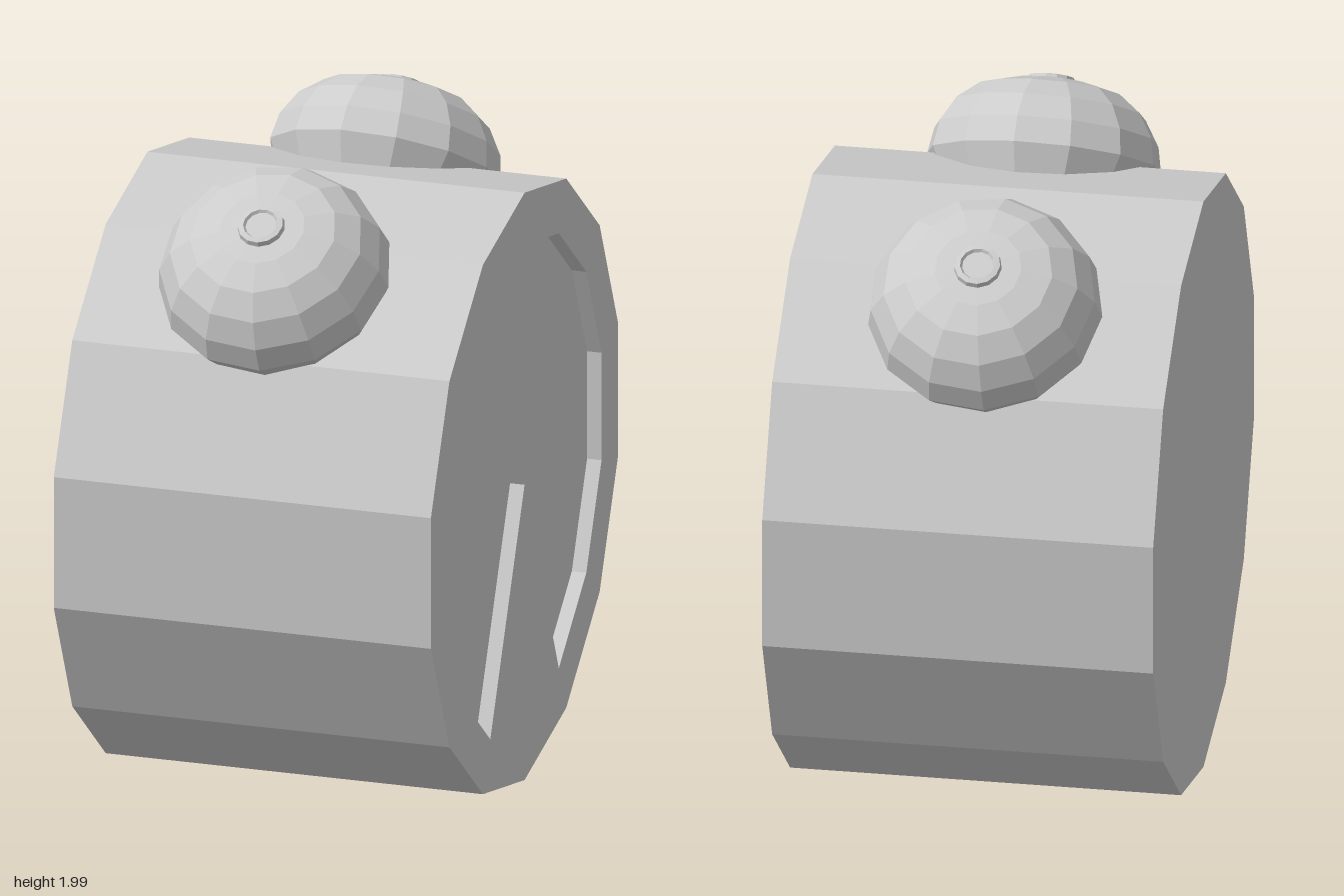
import * as THREE from 'three';

const SIDES = 14, RADIUS = 0.921, CENTRE_Y = 0.93;
const BACK_X = -0.588, FACE_X = 0.583, RECESS = 0.045;

const material = new THREE.MeshStandardMaterial({ color: 0xcccccc, flatShading: true });

function part(name, geometry) {
  const mesh = new THREE.Mesh(geometry, material);
  mesh.name = name;
  return mesh;
}

// Corners of the case polygon, k steps round from the top
function corner(radius, k) {
  const a = (k * Math.PI * 2) / SIDES;
  return new THREE.Vector2(radius * Math.sin(a), radius * Math.cos(a));
}

function profile(pairs) {
  return pairs.map(([r, h]) => new THREE.Vector2(r, h));
}

// Fourteen-sided drum lying along x
function createCase() {
  const length = FACE_X - RECESS - BACK_X;
  const geometry = new THREE.CylinderGeometry(RADIUS, RADIUS, length, SIDES, 1, false, Math.PI / 2);
  geometry.rotateZ(-Math.PI / 2);
  geometry.translate(BACK_X + length / 2, CENTRE_Y, 0);
  return part('case', geometry);
}

// Raised rim with a wedge reaching the centre of the sunken dial
function createFaceRim() {
  const outer = [], dial = [new THREE.Vector2(0, 0.005)];
  for (let k = 0; k < SIDES; k++) outer.push(corner(RADIUS, -k));
  for (let k = -6; k <= 6; k++) dial.push(corner(0.757, k));
  const shape = new THREE.Shape(outer);
  shape.holes.push(new THREE.Path(dial));
  const geometry = new THREE.ExtrudeGeometry(shape, { depth: RECESS, bevelEnabled: false });
  geometry.rotateY(Math.PI / 2);
  geometry.translate(FACE_X - RECESS, CENTRE_Y, 0);
  return part('faceRim', geometry);
}

// Flattened dome with a small dished button on its tip
function createBell(name) {
  const bell = new THREE.Group();
  bell.name = name;
  const dome = profile([
    [0, -0.26], [0.18, -0.2], [0.3, -0.1], [0.35, 0], [0.335, 0.08],
    [0.29, 0.155], [0.22, 0.21], [0.13, 0.235], [0, 0.243],
  ]);
  const button = profile([[0.073, 0.23], [0.068, 0.255], [0.052, 0.258], [0.046, 0.249], [0, 0.249]]);
  bell.add(part('bellDome', new THREE.LatheGeometry(dome, 13, Math.PI / 2)));
  bell.add(part('bellButton', new THREE.LatheGeometry(button, 13, Math.PI / 2)));
  bell.position.set(0, 1.7, 0.52);
  bell.rotation.x = THREE.MathUtils.degToRad(34.5);
  return bell;
}

export function createModel() {
  const model = new THREE.Group();
  model.name = 'alarmClock';
  model.add(createCase(), createFaceRim());

  // Two bells, the back one turned half round
  [['frontBell', 0], ['backBell', Math.PI]].forEach(([name, turn]) => {
    const mount = new THREE.Group();
    mount.name = name + 'Mount';
    mount.position.set(-0.023, 0, -0.004);
    mount.rotation.y = turn;
    mount.add(createBell(name));
    model.add(mount);
  });
  return model;
}
